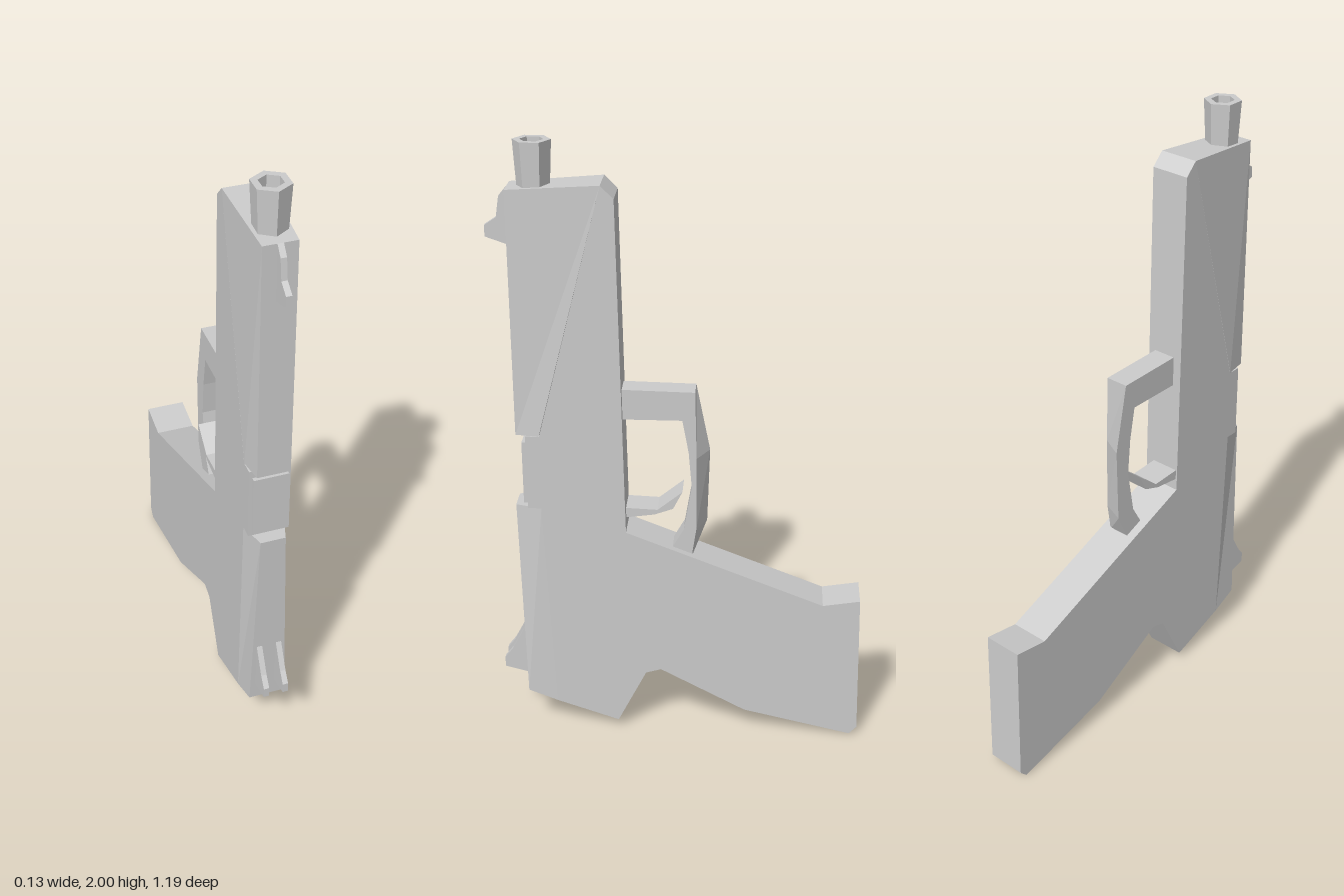
import * as THREE from 'three';

const material = new THREE.MeshStandardMaterial({ color: 0xcccccc, flatShading: true, side: THREE.DoubleSide });

export function createModel() {
  const group = new THREE.Group();
  const add = (name, geometry) => {
    const mesh = new THREE.Mesh(geometry, material);
    mesh.name = name;
    group.add(mesh);
    return mesh;
  };

  // Side profile of [z, y] points, extruded across x from x0 to x1
  const profile = (points, x0, x1) => {
    const shape = new THREE.Shape(points.map(([z, y]) => new THREE.Vector2(z, y)));
    const geometry = new THREE.ExtrudeGeometry(shape, { depth: x1 - x0, bevelEnabled: false });
    return geometry.rotateY(-Math.PI / 2).translate(x1, 0, 0);
  };

  // Six-sided block; each corner line is [halfWidth, y, z]
  const wedge = ({ backTop, backBottom, frontTop, frontBottom }) => {
    const geometry = new THREE.BoxGeometry(2, 2, 2).toNonIndexed();
    const p = geometry.attributes.position;
    for (let i = 0; i < p.count; i++) {
      const up = p.getY(i) > 0;
      const [w, y, z] = p.getZ(i) > 0 ? (up ? frontTop : frontBottom) : (up ? backTop : backBottom);
      p.setXYZ(i, Math.sign(p.getX(i)) * w, y, z);
    }
    geometry.computeVertexNormals();
    return geometry;
  };

  // Frame and grip
  add('frameAndGrip', profile([
    [0.24, 1.88], [0.2, 1.84], [0.18, 0.745], [-0.46, 0.495], [-0.58, 0.515],
    [-0.59, 0.03], [-0.565, 0.003], [-0.21, 0.085], [0.07, 0.235], [0.12, 0.22],
    [0.215, 0.03], [0.42, 0.1], [0.45, 0.82], [0.45, 1.07],
  ], -0.065, 0.065));

  // Slide, tapering towards its front face
  add('upperSlide', wedge({
    backTop: [0.065, 1.88, 0.24], backBottom: [0.065, 1.075, 0.45],
    frontTop: [0.052, 1.86, 0.525], frontBottom: [0.052, 1.075, 0.525],
  }));
  add('lowerSlide', wedge({
    backTop: [0.065, 0.825, 0.45], backBottom: [0.065, 0.1, 0.42],
    frontTop: [0.04, 0.825, 0.535], frontBottom: [0.06, 0.135, 0.518],
  }));

  // Recessed ejection port with its raised panel
  add('ejectionPort', new THREE.BoxGeometry(0.13, 0.25, 0.1)).position.set(0, 0.95, 0.443);
  add('portPanel', new THREE.BoxGeometry(0.11, 0.21, 0.04)).position.set(0, 0.945, 0.487);

  // Hollow six-sided barrel
  const barrelProfile = [[0.048, 1.82], [0.058, 2], [0.036, 2], [0.036, 1.93], [0, 1.93]]
    .map(([r, y]) => new THREE.Vector2(r, y));
  add('barrel', new THREE.LatheGeometry(barrelProfile, 6)).position.z = 0.445;

  // Sights
  add('frontSight', profile([
    [0.5, 1.86], [0.525, 1.86], [0.55, 1.83], [0.56, 1.765], [0.597, 1.74],
    [0.597, 1.705], [0.525, 1.68], [0.5, 1.68],
  ], -0.009, 0.009));
  for (const side of [-1, 1]) {
    add(side > 0 ? 'leftRearSight' : 'rightRearSight', profile([
      [0.5, 0.37], [0.525, 0.37], [0.57, 0.285], [0.597, 0.25], [0.597, 0.215], [0.5, 0.19],
    ], side * 0.032 - 0.009, side * 0.032 + 0.009));
  }

  // Trigger guard, its outer edge slanted across the width
  const guard = profile([
    [0.2, 1.23], [-0.04, 1.225], [-0.085, 1.0], [-0.077, 0.75], [-0.03, 0.65],
    [0.04, 0.67], [-0.005, 0.75], [-0.03, 0.9], [-0.02, 1.02], [0, 1.13], [0.2, 1.13],
  ], -0.036, 0.04);
  const p = guard.attributes.position;
  for (let i = 0; i < p.count; i++) {
    if (p.getX(i) > 0 && p.getZ(i) < -0.045) p.setZ(i, -0.045);
  }
  guard.computeVertexNormals();
  add('triggerGuard', guard);

  // Trigger
  add('trigger', profile([
    [0.2, 0.82], [0.08, 0.815], [0, 0.88], [0.03, 0.82], [0.09, 0.798], [0.2, 0.783],
  ], -0.06, 0.035));

  return group;
}
